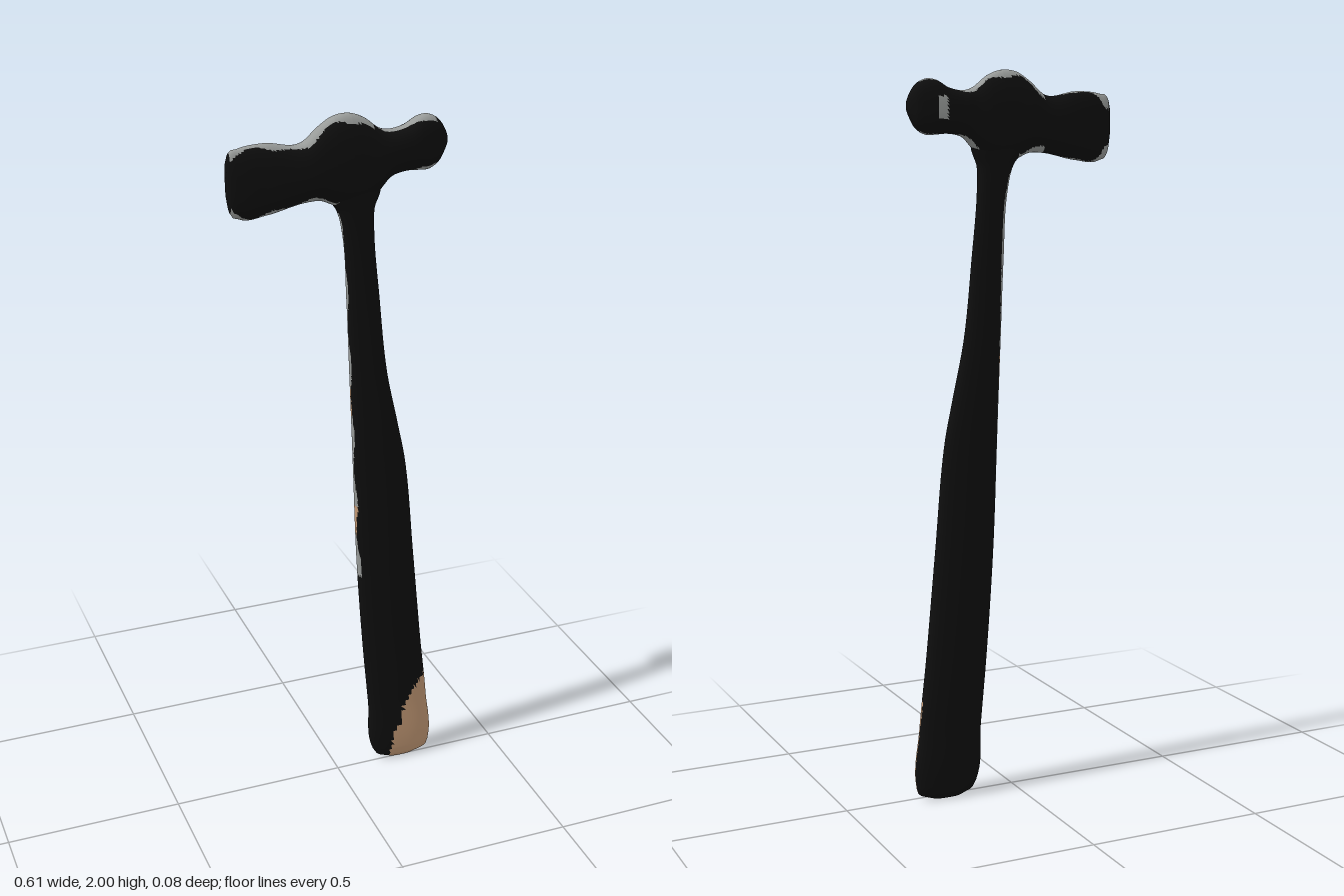
import * as THREE from 'three';

const paint = (name, color) => {
  const m = new THREE.MeshStandardMaterial({ color });
  m.name = name;
  return m;
};

// Lofts smooth ovals along an axis. Each section: [position, low, high, back z, front z].
// pick(x, y, z) returns the material index of a face.
function loft(name, axis, sections, rows, power, materials, pick) {
  const N = 56, pos = [], faces = materials.map(() => []);
  const spline = new THREE.CubicInterpolant(
    sections.map(s => s[0]), sections.flatMap(s => s.slice(1)), 4);
  // Evenly spaced rows plus the exact sections, so that rounded ends stay crisp
  const first = sections[0][0], last = sections[sections.length - 1][0];
  const stops = sections.map(s => s[0]);
  for (let i = 1; i < rows; i++) stops.push(first + (last - first) * i / rows);
  stops.sort((a, b) => a - b);
  const soft = v => Math.sign(v) * Math.abs(v) ** power;
  const add = (t, u, z) => axis === 'y' ? pos.push(u, t, z) : pos.push(t, u, z);

  for (const t of stops) {
    const [lo, hi, zb, zf] = spline.evaluate(t);
    for (let k = 0; k < N; k++) {
      const a = k / N * Math.PI * 2;
      add(t, (lo + hi) / 2 + (hi - lo) / 2 * soft(Math.cos(a)),
        (zb + zf) / 2 + (zf - zb) / 2 * soft(Math.sin(a)));
    }
  }
  const ends = [sections[0], sections[sections.length - 1]];
  for (const s of ends) add(s[0], (s[1] + s[2]) / 2, (s[3] + s[4]) / 2);

  const tri = (a, b, c) => {
    const mid = [0, 1, 2].map(j => (pos[a * 3 + j] + pos[b * 3 + j] + pos[c * 3 + j]) / 3);
    faces[pick(...mid)].push(...(axis === 'y' ? [a, c, b] : [a, b, c]));
  };
  const R = stops.length;
  for (let k = 0; k < N; k++) {
    const n = (k + 1) % N;
    for (let i = 0; i < R - 1; i++) {
      const a = i * N + k, b = i * N + n;
      tri(a, b, b + N);
      tri(a, b + N, a + N);
    }
    tri(R * N, n, k);
    tri(R * N + 1, (R - 1) * N + k, (R - 1) * N + n);
  }

  const g = new THREE.BufferGeometry();
  g.setAttribute('position', new THREE.Float32BufferAttribute(pos, 3));
  g.setIndex(faces.flat());
  let start = 0;
  faces.forEach((f, i) => { g.addGroup(start, f.length, i); start += f.length; });
  g.computeVertexNormals();
  const mesh = new THREE.Mesh(g, materials);
  mesh.name = name;
  return mesh;
}

export function createModel() {
  const group = new THREE.Group();
  group.name = 'hammer';
  const black = paint('black', 0x0e0e0e);
  const steel = paint('steel grey', 0x989b99);
  const wood = paint('bare wood', 0xc49a76);

  // Handle: narrow neck, swelling into the grip
  const handle = [
    [0.0, 0.165, 0.25, -0.028, 0.003],
    [0.012, 0.135, 0.285, -0.034, 0.01],
    [0.04, 0.116, 0.297, -0.038, 0.015],
    [0.2, 0.102, 0.286, -0.039, 0.018],
    [0.4, 0.083, 0.263, -0.038, 0.02],
    [0.7, 0.06, 0.232, -0.033, 0.023],
    [1.0, 0.046, 0.2, -0.026, 0.024],
    [1.12, 0.041, 0.175, -0.024, 0.024],
    [1.28, 0.034, 0.141, -0.021, 0.022],
    [1.5, 0.024, 0.116, -0.017, 0.021],
    [1.68, 0.012, 0.099, -0.018, 0.024],
    [1.75, -0.006, 0.1, -0.022, 0.028],
    [1.79, -0.035, 0.115, -0.026, 0.032],
    [1.86, -0.04, 0.11, -0.024, 0.03],
  ];
  // Worn corner of the grip: its slanted edge as [x, highest y]
  const worn = [[0.165, 0], [0.172, 0.08], [0.195, 0.13], [0.21, 0.2], [0.245, 0.25], [0.28, 0.29], [0.31, 0.29]];
  const wornTop = x => {
    for (let i = 1; i < worn.length; i++) {
      const [a, b] = [worn[i - 1], worn[i]];
      if (x < b[0]) return x < a[0] ? -1 : a[1] + (b[1] - a[1]) * (x - a[0]) / (b[0] - a[0]);
    }
    return 0.29;
  };
  group.add(loft('handle', 'y', handle, 110, 0.8, [black, steel, wood], (x, y, z) => {
    if (z > -0.012 && y < wornTop(x)) return 2;
    // Rubbed strip along the straight edge
    const edge = 0.046 + (1 - y) * 0.043;
    if (y > 0.65 && y < 1.74 && x < edge + 0.012 && z > -0.012 && z < 0.006 + 0.004 * Math.sin(y * 30)) {
      return Math.sin(y * 17) > 0.75 && y < 1.4 ? 2 : 1;
    }
    return 0;
  }));

  // Head: flat striking face, raised eye, narrow neck and round peen
  const head = [
    [-0.305, 1.815, 1.91, 0.005, 0.025],
    [-0.3, 1.785, 1.928, 0.0, 0.03],
    [-0.275, 1.76, 1.94, -0.008, 0.036],
    [-0.2, 1.76, 1.946, -0.022, 0.039],
    [-0.1, 1.78, 1.936, -0.03, 0.04],
    [-0.05, 1.78, 1.975, -0.032, 0.041],
    [-0.015, 1.765, 1.996, -0.032, 0.041],
    [0.03, 1.755, 2.0, -0.033, 0.04],
    [0.07, 1.762, 1.985, -0.034, 0.038],
    [0.11, 1.79, 1.955, -0.034, 0.036],
    [0.14, 1.82, 1.946, -0.038, 0.033],
    [0.19, 1.832, 1.953, -0.043, 0.028],
    [0.225, 1.83, 1.972, -0.042, 0.025],
    [0.255, 1.83, 1.974, -0.038, 0.02],
    [0.285, 1.85, 1.955, -0.03, 0.012],
    [0.3, 1.878, 1.93, -0.018, 0.004],
    [0.305, 1.89, 1.917, -0.012, 0.0],
  ];
  group.add(loft('head', 'x', head, 80, 0.8, [black, steel], (x, y, z) => {
    // Bare patch behind the peen
    if (z < -0.02 && Math.abs(x - 0.215) < 0.013 && y > 1.87 && y < 1.93) return 1;
    // Bare strip along the top and bottom edges
    const mid = x < -0.09 ? 0.012 : x < 0.09 ? 0.004 : -0.004;
    const half = (x < -0.09 ? 0.013 : x < 0.09 ? 0.022 : 0.014) + 0.003 * Math.sin(x * 60);
    const high = x < -0.08 ? 1.9 : x < 0.1 ? 1.93 : 1.92;
    const low = x < 0.1 ? 1.8 : 1.86;
    return x > -0.297 && x < 0.27 && Math.abs(z - mid) < half && (y > high || y < low) ? 1 : 0;
  }));
  return group;
}
